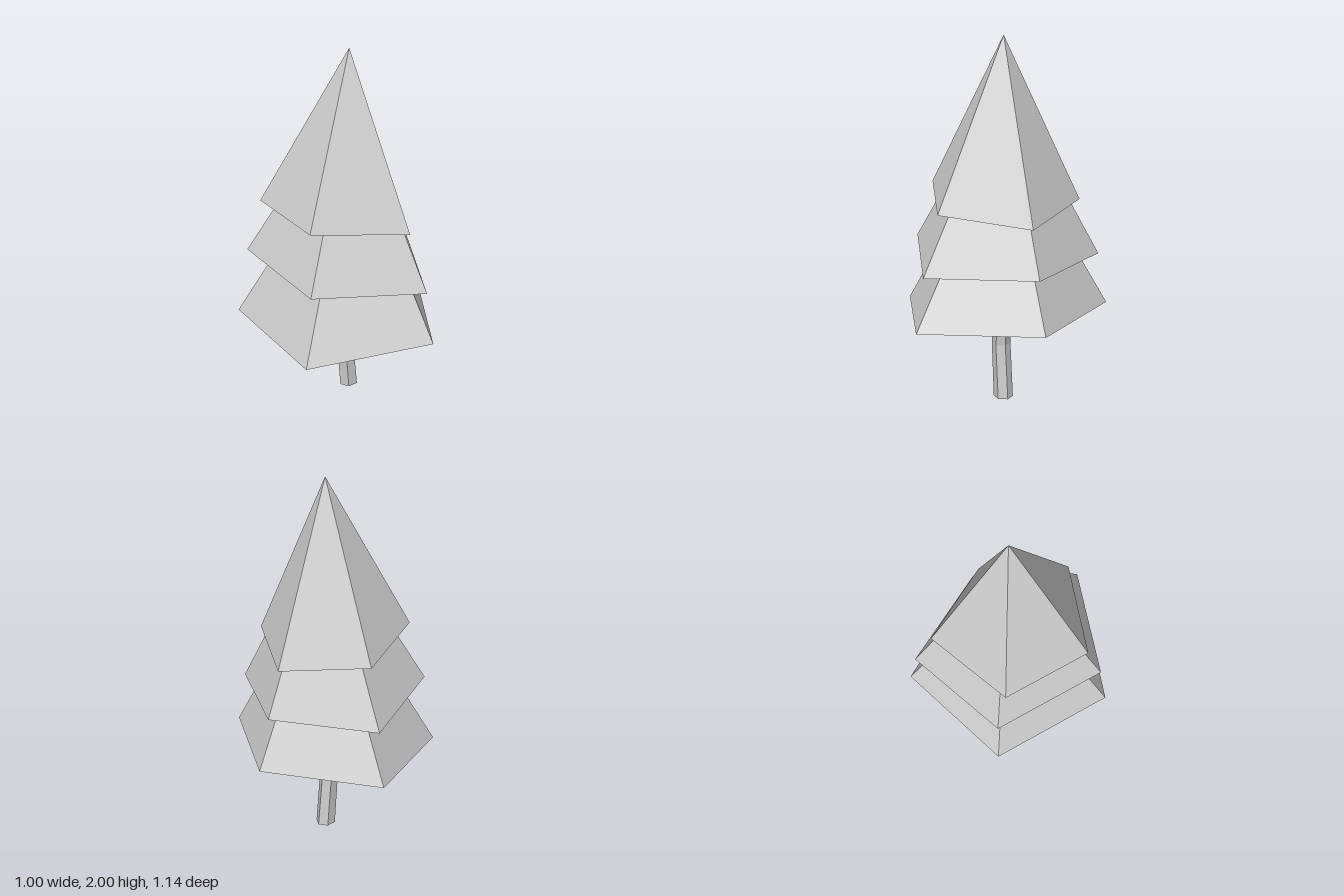
import * as THREE from 'three';

const material = new THREE.MeshStandardMaterial({ color: 0xcccccc, flatShading: true });

// Slightly skewed five-sided cone with a closed underside.
// Corners: right tip, front, front left; the last two are mirrored to the back.
function foliageTier(name, apex, right, front, left) {
  const mirror = ([x, y, z]) => [x, y, -z];
  const ring = [right, front, left, mirror(left), mirror(front)];
  const centre = [0, 1, 2].map((k) => ring.reduce((sum, p) => sum + p[k], 0) / ring.length);
  const positions = [];
  ring.forEach((a, i) => {
    const b = ring[(i + 1) % ring.length];
    positions.push(...a, ...apex, ...b); // sloping side
    positions.push(...a, ...b, ...centre); // underside
  });
  const geometry = new THREE.BufferGeometry();
  geometry.setAttribute('position', new THREE.Float32BufferAttribute(positions, 3));
  geometry.computeVertexNormals();
  const mesh = new THREE.Mesh(geometry, material);
  mesh.name = name;
  return mesh;
}

// Six-sided trunk with one kink halfway up
function bentTrunk() {
  const height = 0.62;
  const geometry = new THREE.CylinderGeometry(0.047, 0.057, height, 6, 2);
  geometry.rotateY(Math.PI / 2).translate(0, height / 2, 0);
  const pos = geometry.attributes.position;
  for (let i = 0; i < pos.count; i++) {
    const t = pos.getY(i) / height;
    const offset = t < 0.5
      ? THREE.MathUtils.lerp(0.007, -0.02, t * 2)
      : THREE.MathUtils.lerp(-0.02, 0.018, t * 2 - 1);
    pos.setX(i, pos.getX(i) + offset);
    pos.setZ(i, pos.getZ(i) * (t < 0.5 ? 0.93 : 1));
  }
  geometry.computeVertexNormals();
  const mesh = new THREE.Mesh(geometry, material);
  mesh.name = 'trunk';
  return mesh;
}

export function createModel() {
  const tree = new THREE.Group();
  tree.name = 'tree';
  tree.add(
    bentTrunk(),
    foliageTier('lowerFoliage', [0.02, 1.53, 0],
      [0.495, 0.517, 0], [0.155, 0.515, 0.571], [-0.5, 0.487, 0.354]),
    foliageTier('middleFoliage', [0.02, 1.77, 0],
      [0.425, 0.795, 0], [0.14, 0.803, 0.52], [-0.443, 0.87, 0.32]),
    foliageTier('upperFoliage', [0.01, 2, 0],
      [0.35, 1.045, 0], [0.098, 1.113, 0.418], [-0.392, 1.182, 0.243]),
  );
  return tree;
}
